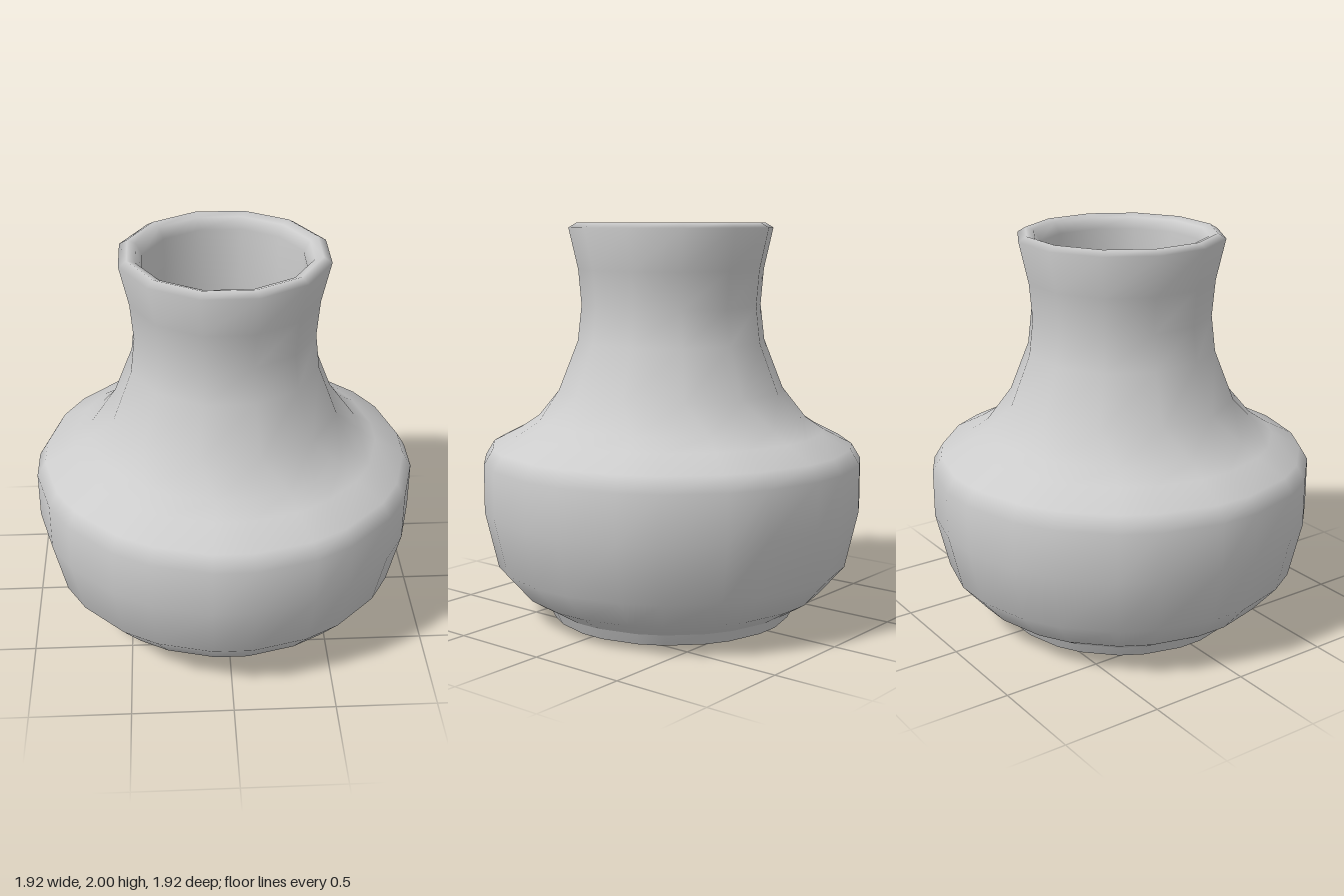
import * as THREE from 'three';

// Vertex columns come in pairs around 12 directions; where spread is 0
// a pair closes to one corner, so the neck has 12 sides and the body 24.
const PAIRS = 12;
const COLS = PAIRS * 2;
const rad = THREE.MathUtils.degToRad;

// rings: [half width, y, spread in degrees]; a repeated ring makes a sharp edge
function ringSurface(rings) {
  const positions = [];
  const index = [];
  for (const [halfWidth, y, spread] of rings) {
    const r = halfWidth / Math.cos(rad(15 - spread));
    for (let j = 0; j < COLS; j++) {
      const angle = rad(15 + 30 * Math.floor(j / 2) + (j % 2 ? spread : -spread));
      positions.push(r * Math.cos(angle), y, r * Math.sin(angle));
    }
  }
  const vertex = (i, j) => {
    j %= COLS;
    return i * COLS + (rings[i][2] === 0 ? j - (j % 2) : j);
  };
  const addTriangle = (a, b, c) => {
    if (a !== b && b !== c && a !== c) index.push(a, b, c);
  };
  for (let i = 0; i < rings.length - 1; i++) {
    if (rings[i].every((v, k) => v === rings[i + 1][k])) continue;
    for (let j = 0; j < COLS; j++) {
      const a = vertex(i, j), b = vertex(i, j + 1);
      const c = vertex(i + 1, j), d = vertex(i + 1, j + 1);
      addTriangle(a, c, b);
      addTriangle(b, c, d);
    }
  }
  const geometry = new THREE.BufferGeometry();
  geometry.setAttribute('position', new THREE.Float32BufferAttribute(positions, 3));
  geometry.setIndex(index);
  geometry.computeVertexNormals();
  return geometry;
}

export function createModel() {
  const group = new THREE.Group();
  group.name = 'vase';

  const rings = [
    // underside and foot
    [0.001, 0, 9], [0.61, 0, 9], [0.61, 0, 9], [0.64, 0.06, 9], [0.64, 0.06, 9],
    // belly and shoulder
    [0.77, 0.14, 9], [0.895, 0.285, 9], [0.96, 0.57, 9], [0.96, 0.81, 9],
    [0.915, 0.885, 9], [0.77, 0.96, 9], [0.68, 1.02, 9],
    // neck
    [0.555, 1.16, 0], [0.46, 1.41, 0], [0.44, 1.59, 0], [0.455, 1.77, 0],
    // rounded lip
    [0.5, 1.975, 0], [0.46, 2, 0], [0.42, 1.985, 0], [0.39, 1.93, 0],
    // inner wall and floor
    [0.39, 1.6, 0], [0.4, 1.41, 0], [0.49, 1.14, 0], [0.62, 0.98, 9],
    [0.85, 0.83, 9], [0.89, 0.78, 9], [0.89, 0.58, 9], [0.83, 0.32, 9],
    [0.72, 0.2, 9], [0.58, 0.12, 9], [0.001, 0.1, 9],
  ];
  const vessel = new THREE.Mesh(
    ringSurface(rings),
    new THREE.MeshStandardMaterial({ color: 0xcccccc })
  );
  vessel.name = 'vessel';
  group.add(vessel);
  return group;
}
